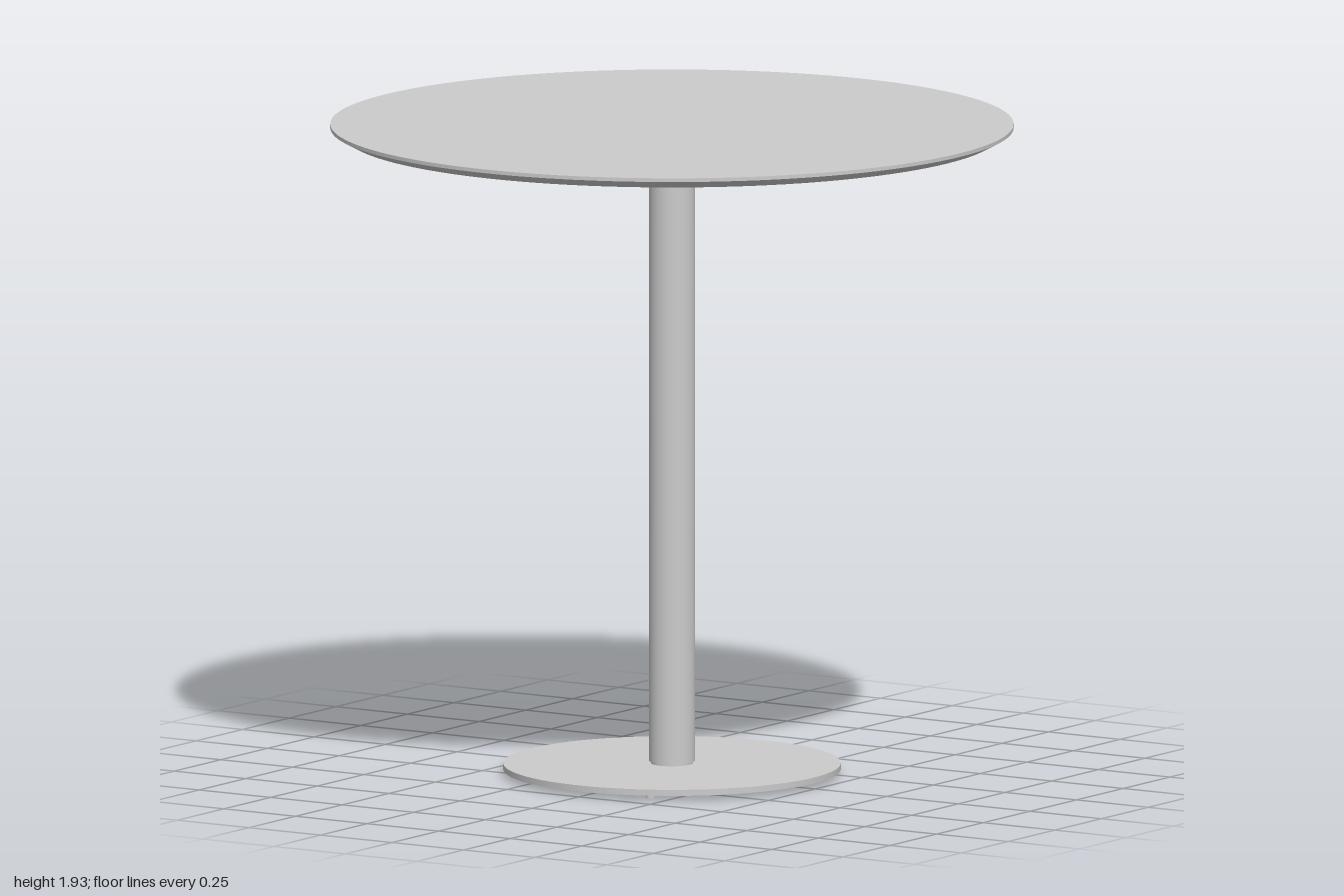
import * as THREE from 'three';

export function createModel() {
  const table = new THREE.Group();
  table.name = 'pedestalTable';
  const material = new THREE.MeshStandardMaterial({ color: 0xcccccc });

  // Upright cylinder between two heights, optionally tapered
  function disc(name, rTop, rBottom, y0, y1, sides, x = 0, z = 0) {
    const mesh = new THREE.Mesh(new THREE.CylinderGeometry(rTop, rBottom, y1 - y0, sides), material);
    mesh.name = name;
    mesh.position.set(x, (y0 + y1) / 2, z);
    table.add(mesh);
  }

  // Round top: thin straight rim over a bevelled underside
  const rim = [[0, 1.893], [0.957, 1.893], [1, 1.916], [1, 1.927], [0, 1.927]];
  const points = [];
  rim.forEach(([r, y], i) => {
    // Doubled corners keep the edges sharp
    points.push(new THREE.Vector2(r, y));
    if (i > 0 && i < rim.length - 1) points.push(new THREE.Vector2(r, y));
  });
  const top = new THREE.Mesh(new THREE.LatheGeometry(points, 128), material);
  top.name = 'tableTop';
  table.add(top);

  // Column on a short recessed collar
  disc('column', 0.067, 0.067, 0.04, 1.893, 64);
  disc('columnCollar', 0.062, 0.062, 0.033, 0.04, 64);

  // Flat round base
  disc('basePlate', 0.494, 0.494, 0.015, 0.033, 128);

  // Five small feet under the base
  const feet = [[0.425, 0], [0.185, 0.4], [0.185, -0.41], [-0.355, 0.28], [-0.355, -0.305]];
  for (const [x, z] of feet) disc('foot', 0.013, 0.013, 0, 0.015, 20, x, z);

  return table;
}
